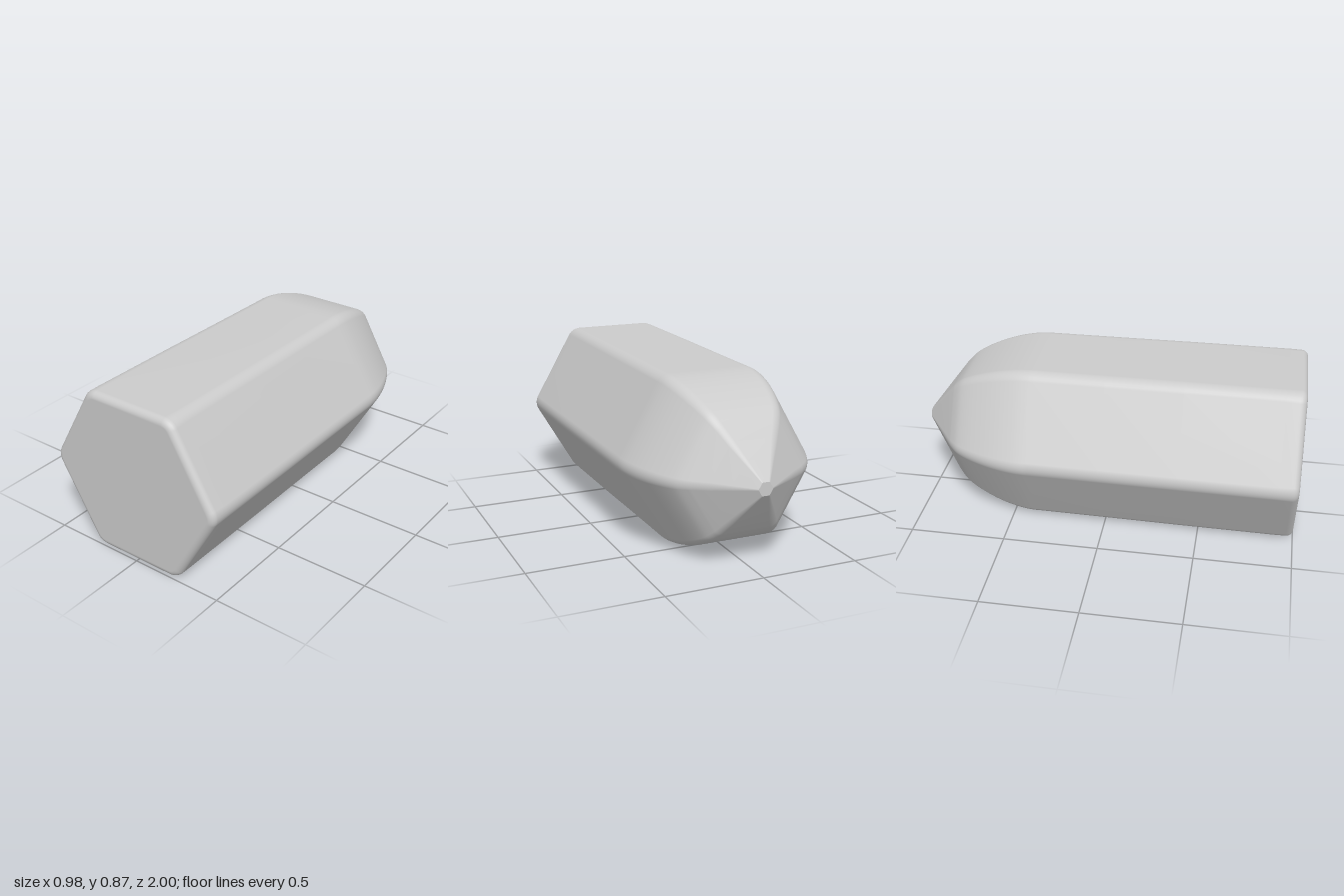
import * as THREE from 'three';

const CENTER_Y = 0.437;
const CORNER_STEPS = 6;

// Hexagon with rounded corners: a = centre to flat side, r = corner radius
function hexRing(a, r, z) {
  const ring = [];
  const reach = (a - r) / Math.cos(Math.PI / 6);
  for (let k = 0; k < 6; k++) {
    const corner = (k * Math.PI) / 3;
    for (let s = 0; s <= CORNER_STEPS; s++) {
      const t = corner + (s / CORNER_STEPS - 0.5) * (Math.PI / 3);
      ring.push([
        reach * Math.cos(corner) + r * Math.cos(t),
        reach * Math.sin(corner) + r * Math.sin(t) + CENTER_Y,
        z,
      ]);
    }
  }
  return ring;
}

// Skin the rings from front to back and close both ends
function loft(rings) {
  const n = rings[0].length;
  const points = rings.flat();
  const index = [];
  for (let i = 0; i < rings.length - 1; i++) {
    for (let j = 0; j < n; j++) {
      const a = i * n + j, b = i * n + ((j + 1) % n);
      index.push(a, a + n, b, a + n, b + n, b);
    }
  }
  const front = points.length, back = front + 1;
  points.push([0, CENTER_Y, rings[0][0][2]], [0, CENTER_Y, rings[rings.length - 1][0][2]]);
  const last = (rings.length - 1) * n;
  for (let j = 0; j < n; j++) {
    const k = (j + 1) % n;
    index.push(front, j, k, back, last + k, last + j);
  }
  const geometry = new THREE.BufferGeometry();
  geometry.setAttribute('position', new THREE.Float32BufferAttribute(points.flat(), 3));
  geometry.setIndex(index);
  geometry.computeVertexNormals();
  return geometry;
}

export function createModel() {
  const group = new THREE.Group();
  group.name = 'hexagonalCrystal';
  const rings = [];

  // Rounded rim around the flat front face
  const rim = 0.036;
  for (let s = 0; s <= 6; s++) {
    const t = (s / 6) * (Math.PI / 2);
    const inset = rim * (1 - Math.sin(t));
    rings.push(hexRing(0.436 - inset, 0.08 - inset, 1 - rim * (1 - Math.cos(t))));
  }

  // Long, barely tapering shaft
  for (const [z, a] of [[0.9, 0.436], [0.4, 0.434], [0, 0.431], [-0.36, 0.429]]) {
    rings.push(hexRing(a, 0.075, z));
  }

  // Curved shoulder
  const shoulder = new THREE.SplineCurve([
    [-0.38, 0.429], [-0.44, 0.425], [-0.52, 0.411], [-0.6, 0.389],
    [-0.68, 0.359], [-0.74, 0.33], [-0.78, 0.303], [-0.82, 0.263],
  ].map(([z, a]) => new THREE.Vector2(z, a)));
  for (const p of shoulder.getPoints(21)) rings.push(hexRing(p.y, p.y * 0.17, p.x));

  // Straight point, ending in a tiny flat tip (ring doubled for a crisp edge)
  for (const [z, a] of [[-0.87, 0.2], [-0.93, 0.123], [-0.998, 0.036], [-1, 0.033], [-1, 0.033]]) {
    rings.push(hexRing(a, a * 0.2, z));
  }

  const crystal = new THREE.Mesh(loft(rings), new THREE.MeshStandardMaterial({ color: 0xcccccc }));
  crystal.name = 'crystalBody';
  group.add(crystal);
  return group;
}
